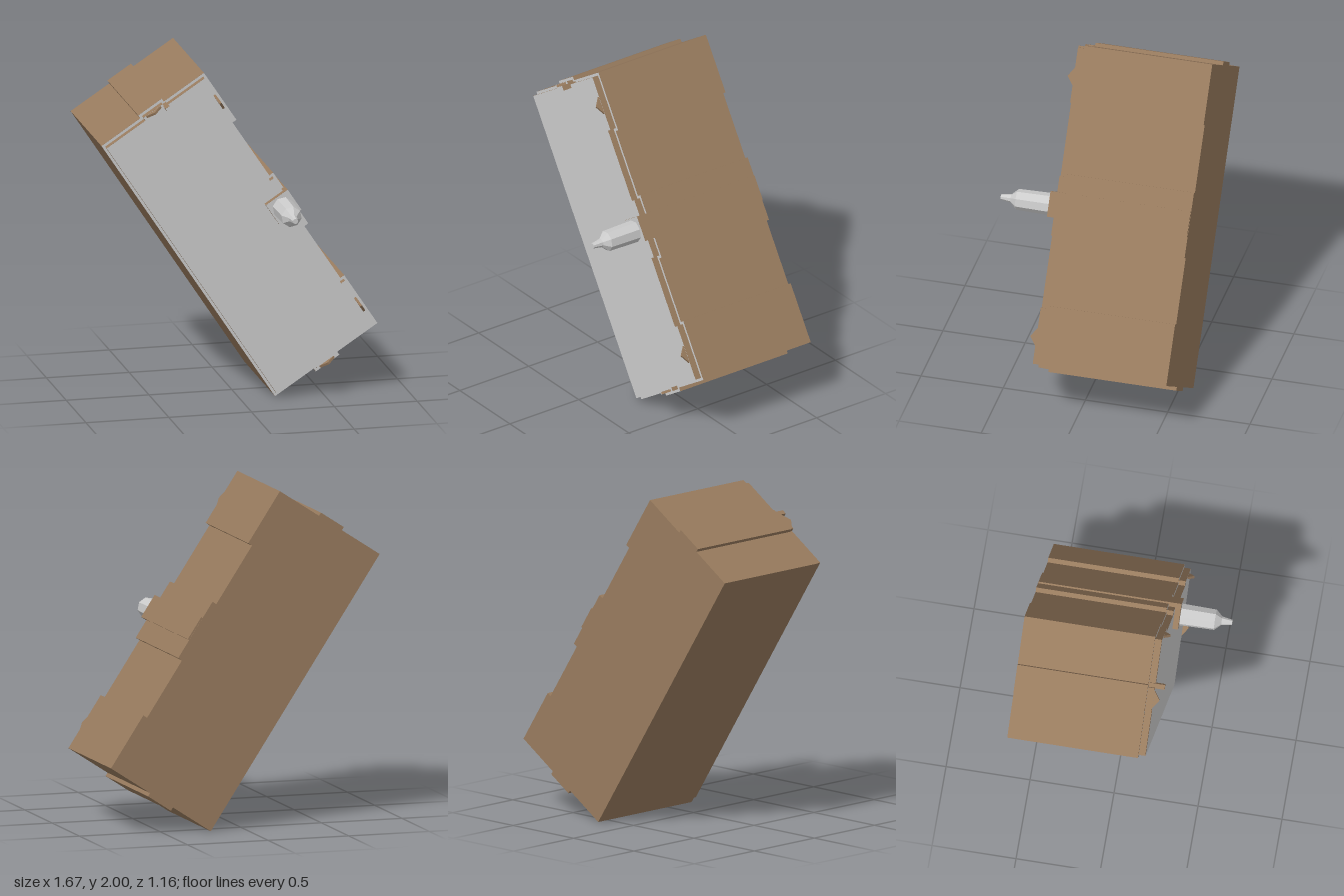
import * as THREE from 'three';

const brown = new THREE.MeshStandardMaterial({ color: 0x987b5e, flatShading: true });
const grey = new THREE.MeshStandardMaterial({ color: 0xcccccc, flatShading: true });

// Case outline with raised edge tabs, shrunk inwards by i
function outline(i) {
  const W = 0.74 - i, N = 0.712 - i, H = 1.908 - i, T = 1.93 - i, a = 0.28 + i, b = 0.45 - i;
  return [
    [i, i], [a, i], [a, i - 0.023], [b, i - 0.023], [b, i], [W, i],
    [W, 0.365 - i], [N, 0.365 - i], [N, 0.76 + i], [W, 0.76 + i],
    [W, 1.147 - i], [N, 1.147 - i], [N, 1.55 + i], [W, 1.55 + i],
    [W, H], [b, H], [b, T], [a, T], [a, H], [i, H],
  ];
}

function rect(u0, v0, u1, v1) {
  return [[u0, v0], [u1, v0], [u1, v1], [u0, v1]];
}

const toShape = (pts) => new THREE.Shape(pts.map(([x, y]) => new THREE.Vector2(x, y)));

// Brown prism from z0 to z1 with a grey front face
function prism(name, pts, z0, z1) {
  const g = new THREE.Group();
  g.name = name;
  const shape = toShape(pts);
  const body = new THREE.Mesh(
    new THREE.ExtrudeGeometry(shape, { depth: z1 - z0 - 0.002, bevelEnabled: false }), brown);
  body.position.z = z0;
  body.name = name + 'Body';
  const face = new THREE.Mesh(new THREE.ShapeGeometry(shape), grey);
  face.position.z = z1;
  face.name = name + 'Face';
  g.add(body, face);
  return g;
}

// Small triangular catch rising from the front rim
function catchRidge(u, v, alongV) {
  const geo = new THREE.ExtrudeGeometry(
    toShape([[-0.055, 0], [0.055, 0], [0, 0.038]]), { depth: 0.014, bevelEnabled: false });
  geo.translate(0, 0, -0.007);
  geo.rotateX(Math.PI / 2);
  if (alongV) geo.rotateZ(Math.PI / 2);
  const m = new THREE.Mesh(geo, brown);
  m.position.set(u, v, 0.238);
  m.name = 'catchRidge';
  return m;
}

export function createModel() {
  const model = new THREE.Group();
  model.name = 'tiltedCase';

  // Everything is laid out upright, then leaned over on its lower corner
  const tilt = new THREE.Group();
  tilt.name = 'caseAssembly';
  tilt.position.set(0.213, 0, 0);
  tilt.rotation.z = THREE.MathUtils.degToRad(33.3);
  model.add(tilt);

  // Main case and the stepped-in front panel
  tilt.add(prism('case', outline(0), -0.58, 0.2));
  tilt.add(prism('frontPanel', outline(0.016), 0.19, 0.24));

  // Block running the full depth behind the nozzle
  tilt.add(prism('nozzleBlock', rect(0.593, 0.883, 0.75, 1.035), -0.578, 0.275));

  // Peg at the top edge
  tilt.add(prism('peg', rect(0.43, 1.87, 0.459, 1.9), 0.2, 0.297));

  // Catches around the rim
  tilt.add(
    catchRidge(0.365, 0.001, false), catchRidge(0.365, 1.906, false),
    catchRidge(0.715, 0.175, true), catchRidge(0.715, 1.72, true));

  // Eight-sided nozzle pointing forward
  const profile = [[0, 0], [0.066, 0], [0.062, 0.205], [0.026, 0.243], [0.016, 0.305], [0, 0.305]]
    .map(([x, y]) => new THREE.Vector2(x, y));
  const nozzle = new THREE.Mesh(new THREE.LatheGeometry(profile, 8), grey);
  nozzle.rotation.x = Math.PI / 2;
  nozzle.position.set(0.669, 0.958, 0.275);
  nozzle.name = 'nozzle';
  tilt.add(nozzle);

  return model;
}
